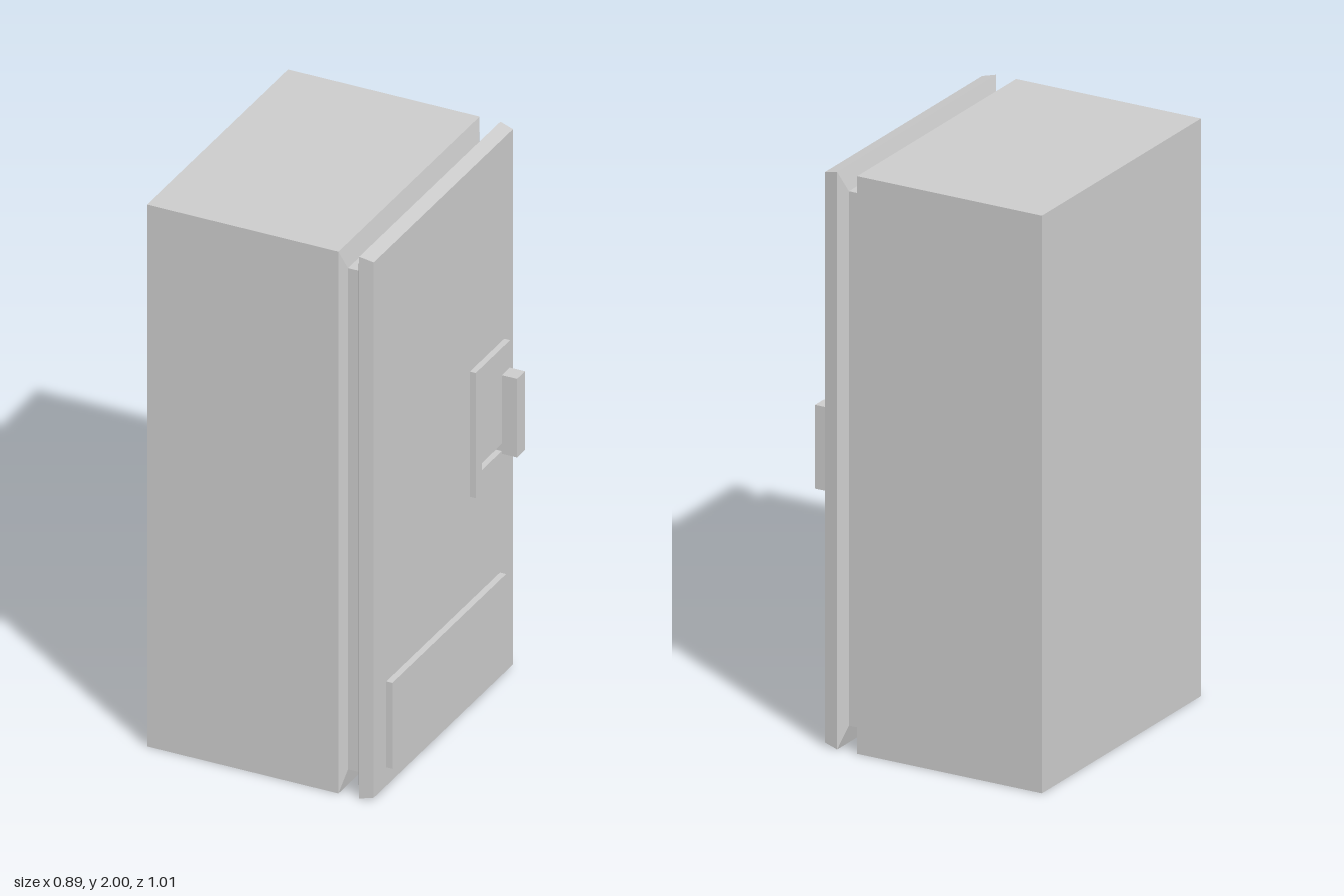
import * as THREE from 'three';

const material = new THREE.MeshStandardMaterial({ color: 0xcccccc, flatShading: true });
const HALF_DEPTH = 0.504, HEIGHT = 2;

// Corners of a rectangular section at x, inset from the full outline
function ring([x, insetY, insetZ]) {
  const z = HALF_DEPTH - insetZ, y0 = insetY, y1 = HEIGHT - insetY;
  return [[x, y0, z], [x, y0, -z], [x, y1, -z], [x, y1, z]];
}

// Shell running along x through the given sections, optionally closed at either end
function loft(sections, capStart, capEnd) {
  const rings = sections.map(ring);
  const points = [];
  const quad = (a, b, c, d) => points.push(...a, ...b, ...c, ...a, ...c, ...d);
  for (let i = 0; i < rings.length - 1; i++) {
    const p = rings[i], q = rings[i + 1];
    for (let j = 0; j < 4; j++) {
      const k = (j + 1) % 4;
      quad(p[j], p[k], q[k], q[j]);
    }
  }
  if (capStart) quad(...rings[0].slice().reverse());
  if (capEnd) quad(...rings[rings.length - 1]);
  const geometry = new THREE.BufferGeometry();
  geometry.setAttribute('position', new THREE.Float32BufferAttribute(points, 3));
  geometry.computeVertexNormals();
  return geometry;
}

// Box given by its limits on each axis
function block(x0, x1, y0, y1, z0, z1) {
  return new THREE.BoxGeometry(x1 - x0, y1 - y0, z1 - z0)
    .translate((x0 + x1) / 2, (y0 + y1) / 2, (z0 + z1) / 2);
}

// Rectangle in the door plane, drawn with -z as the horizontal axis
function rectangle(path, z0, z1, y0, y1) {
  path.moveTo(-z1, y0).lineTo(-z0, y0).lineTo(-z0, y1).lineTo(-z1, y1).closePath();
  return path;
}

export function createModel() {
  const model = new THREE.Group();
  model.name = 'refrigerator';
  const add = (name, geometry) => {
    const mesh = new THREE.Mesh(geometry, material);
    mesh.name = name;
    model.add(mesh);
  };

  // Cabinet, recessed seal and door share their joining edges
  const cabinetEdge = [0.246, 0, 0], sealBack = [0.262, 0.075, 0.037];
  const sealFront = [0.299, 0.075, 0.037], doorEdge = [0.321, 0, 0];
  add('cabinet', loft([[-0.447, 0, 0], cabinetEdge, sealBack], true, false));
  add('doorSeal', loft([sealBack, sealFront], false, false));
  add('door', loft([sealFront, doorEdge, [0.37, 0.012, 0.007]], false, true));

  // Handle plate with a narrow slot beside the grip
  const plate = rectangle(new THREE.Shape(), -0.435, -0.19, 0.783, 1.245);
  plate.holes.push(rectangle(new THREE.Path(), -0.376, -0.234, 0.865, 0.893));
  add('handlePlate', new THREE.ExtrudeGeometry(plate, { depth: 0.021, bevelEnabled: false })
    .rotateY(Math.PI / 2).translate(0.37, 0, 0));
  add('handleGrip', block(0.391, 0.446, 0.855, 1.145, -0.433, -0.376));

  // Low panel on the door
  add('lowerPanel', block(0.37, 0.392, 0.08, 0.397, -0.405, 0.408));

  return model;
}
